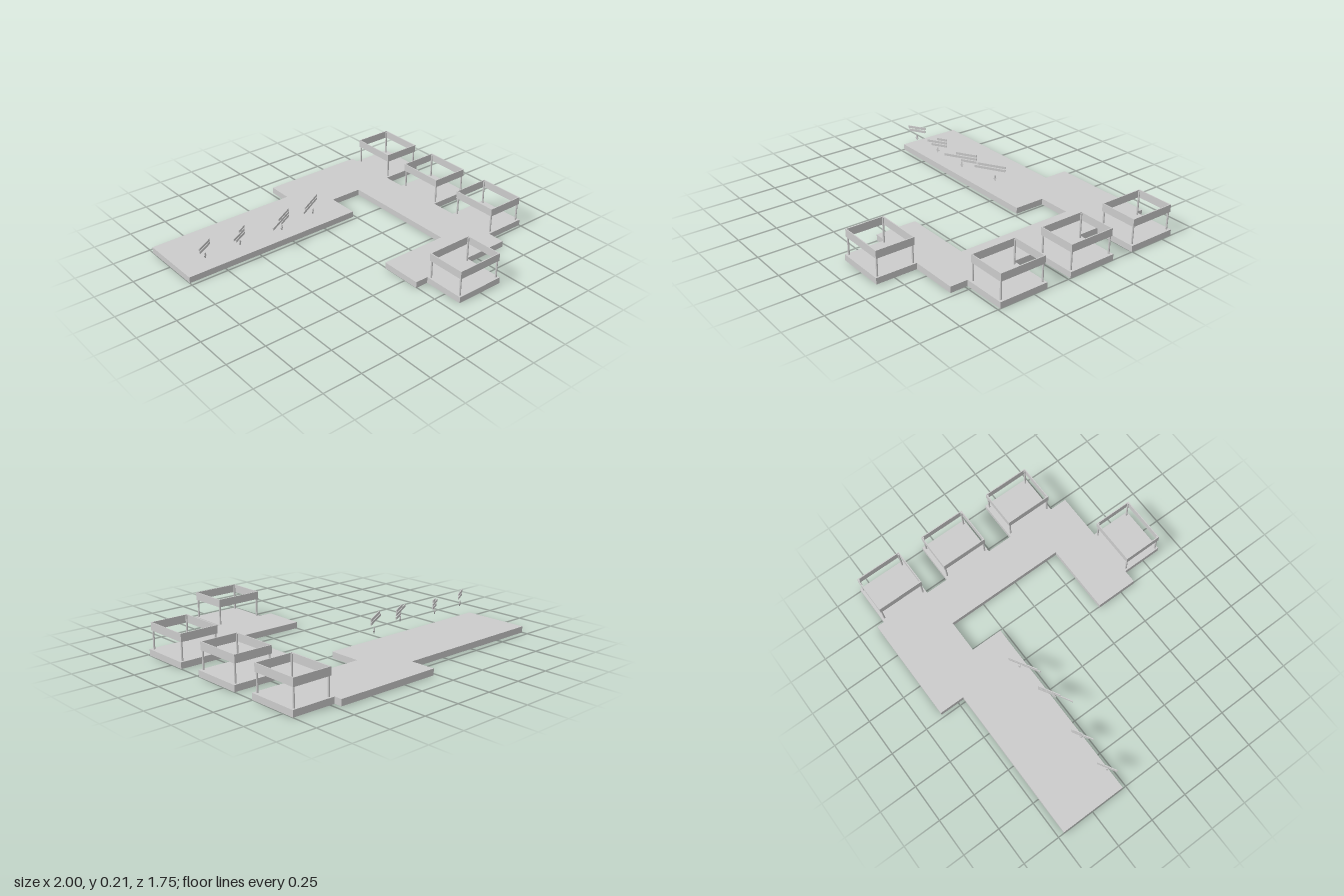
import * as THREE from 'three';

const FLOOR = 0.04, RAIL_LOW = 0.155, RAIL_TOP = 0.205;

export function createModel() {
  const model = new THREE.Group();
  const material = new THREE.MeshStandardMaterial({ color: 0xcccccc, flatShading: true });

  function add(parent, name, geometry, x, y, z) {
    const mesh = new THREE.Mesh(geometry, material);
    mesh.name = name;
    mesh.position.set(x, y, z);
    parent.add(mesh);
    return mesh;
  }
  // Box given by its limits on each axis
  function box(parent, name, x0, x1, y0, y1, z0, z1) {
    return add(parent, name, new THREE.BoxGeometry(x1 - x0, y1 - y0, z1 - z0),
      (x0 + x1) / 2, (y0 + y1) / 2, (z0 + z1) / 2);
  }

  // Walkway platform, outline as (x, z)
  const outline = [
    [-1, -0.71], [0.02, -0.71], [0.02, -0.875], [0.72, -0.875], [0.72, 0.6], [-0.005, 0.6],
    [-0.005, 0.325], [0.455, 0.325], [0.455, -0.485], [0.235, -0.485], [0.235, -0.275], [-1, -0.275],
  ];
  const shape = new THREE.Shape(outline.map(([x, z]) => new THREE.Vector2(x, -z)));
  const platform = new THREE.ExtrudeGeometry(shape, { depth: FLOOR, bevelEnabled: false });
  platform.rotateX(-Math.PI / 2);
  add(model, 'platform', platform, 0, 0, 0);

  // Booths: base slab, four posts and an open fascia ring
  function booth(name, base, frame) {
    const group = new THREE.Group();
    group.name = name;
    model.add(group);
    box(group, 'boothBase', base[0], base[1], 0, FLOOR, base[2], base[3]);

    const [x0, x1, z0, z1] = frame;
    const t = 0.006;
    const ring = new THREE.Shape([[x0, -z1], [x1, -z1], [x1, -z0], [x0, -z0]]
      .map(([x, y]) => new THREE.Vector2(x, y)));
    ring.holes.push(new THREE.Path([[x0 + t, -z1 + t], [x0 + t, -z0 - t], [x1 - t, -z0 - t], [x1 - t, -z1 + t]]
      .map(([x, y]) => new THREE.Vector2(x, y))));
    const fascia = new THREE.ExtrudeGeometry(ring, { depth: RAIL_TOP - RAIL_LOW, bevelEnabled: false });
    fascia.rotateX(-Math.PI / 2);
    add(group, 'fascia', fascia, 0, RAIL_LOW, 0);

    const r = 0.006, height = RAIL_TOP - 0.005 - FLOOR;
    for (const x of [x0 + 0.009, x1 - 0.009]) {
      for (const z of [z0 + 0.009, z1 - 0.009]) {
        add(group, 'post', new THREE.CylinderGeometry(r, r, height, 12), x, FLOOR + height / 2, z);
      }
    }
  }
  for (const z of [-0.66, -0.18, 0.32]) {
    booth('sideBooth', [0.72, 1, z - 0.164, z + 0.164], [0.735, 0.988, z - 0.155, z + 0.155]);
  }
  booth('frontBooth', [0.082, 0.407, 0.6, 0.87], [0.088, 0.4, 0.607, 0.862]);

  // Hanging signs: plain bars with a small pointer, turned 30 degrees
  const angle = Math.PI / 6;
  const signs = [
    // right end x and z, start x of each bar, pointer x, pointer y
    { x: -0.815, z: -0.33, rows: [-0.925, -0.92], pointer: -0.87, y: 0.132 },
    { x: -0.57, z: -0.33, rows: [-0.63, -0.69, -0.665], pointer: -0.625, y: 0.125 },
    { x: -0.24, z: -0.33, rows: [-0.365, -0.435, -0.335], pointer: -0.33, y: 0.13 },
    { x: 0.008, z: -0.365, rows: [-0.155, -0.172], pointer: -0.05, y: 0.122 },
  ];
  for (const s of signs) {
    const sign = new THREE.Group();
    sign.name = 'sign';
    sign.position.set(s.x, 0, s.z);
    sign.rotation.y = angle;
    model.add(sign);
    s.rows.forEach((start, i) => {
      const top = 0.212 - i * 0.022;
      box(sign, 'signBar', (start - s.x) / Math.cos(angle), 0, top - 0.016, top, -0.003, 0.003);
    });
    // Downward pointer with a wide middle and a short stem
    const arrow = new THREE.Shape([[0, -0.019], [0.012, 0], [0.005, 0], [0.005, 0.018],
      [-0.005, 0.018], [-0.005, 0], [-0.012, 0]].map(([x, y]) => new THREE.Vector2(x, y)));
    const pointer = new THREE.ExtrudeGeometry(arrow, { depth: 0.006, bevelEnabled: false });
    add(sign, 'pointer', pointer, (s.pointer - s.x) / Math.cos(angle), s.y, -0.003);
  }
  return model;
}
